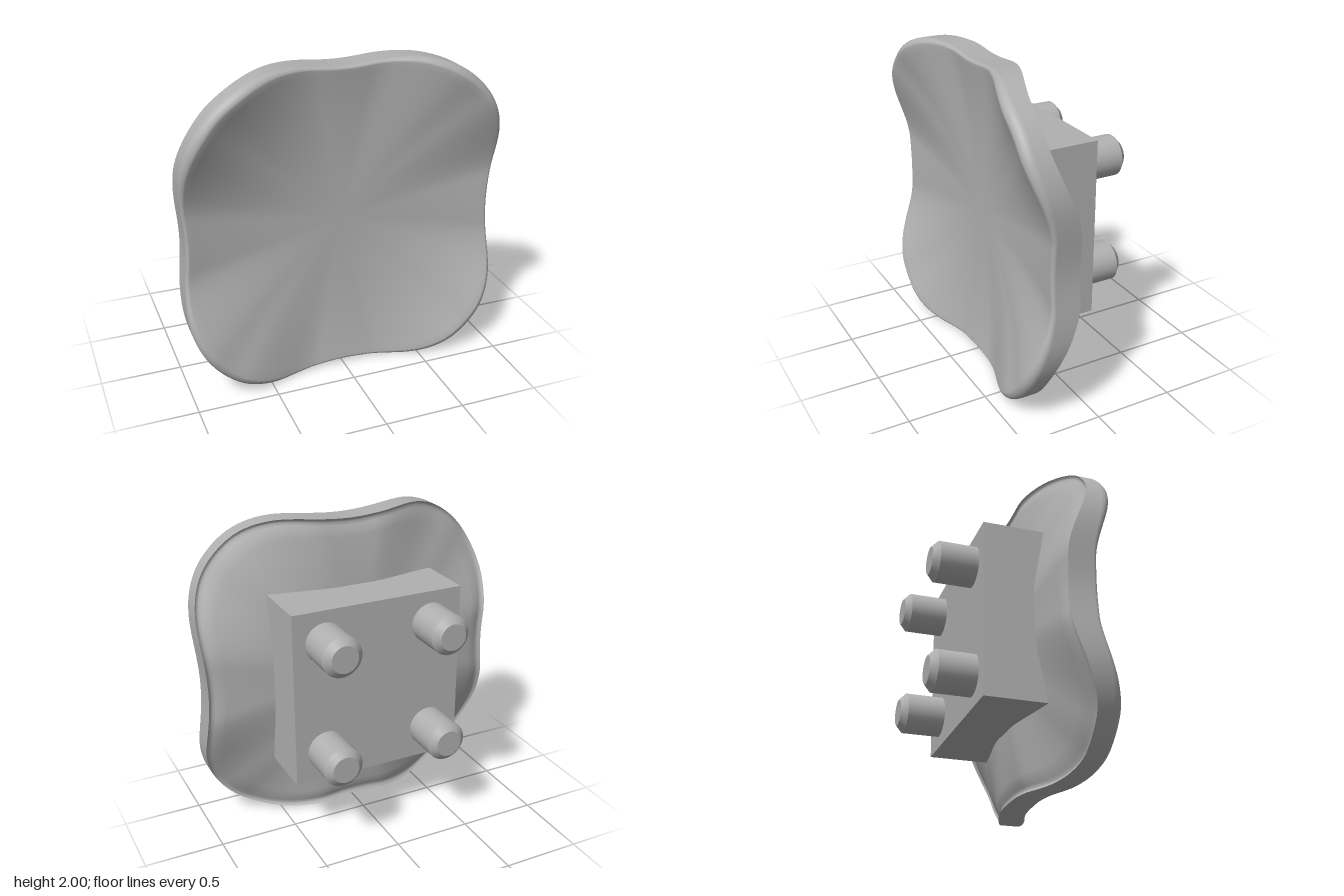
import * as THREE from 'three';

const SEGMENTS = 192;
const CENTER_Y = 1;

// angle measured from the nearest axis, 0 to 45 degrees
function foldAngle(a) {
  const q = Math.PI / 2;
  const m = ((a % q) + q) % q;
  return Math.min(m, q - m);
}

// rounded-square outline with slightly pinched sides
function outlineRadius(a) {
  const f = foldAngle(a), t = Math.tan(f), c = 0.4, R = 0.6;
  if (t < c) return (1 - 0.0125 * (1 + Math.cos(Math.PI * t / c))) / Math.cos(f);
  const d = c * (Math.cos(f) + Math.sin(f));
  return d + Math.sqrt(R * R - 2 * c * c + d * d);
}

// 0 at the middle of a side, 1 at a corner
const cornerness = (a) => THREE.MathUtils.smoothstep(foldAngle(a), 0.18, 0.71);

// rear face of the dish, s runs from the centre (0) to the rim (1)
const backZ = (s, a) => 0.08 + (0.07 + 0.165 * cornerness(a)) * Math.pow(s, 2.5);
const frontZ = (s, a) => backZ(s, a) + 0.173;

// closed rings of points joined into one smooth skin
function skin(rings) {
  const pos = [], idx = [];
  for (const ring of rings) {
    for (let j = 0; j < SEGMENTS; j++) {
      const a = (j / SEGMENTS) * Math.PI * 2;
      const [r, z] = ring(a);
      pos.push(r * Math.cos(a), CENTER_Y + r * Math.sin(a), z);
    }
  }
  for (let i = 0; i < rings.length - 1; i++) {
    for (let j = 0; j < SEGMENTS; j++) {
      const k = (j + 1) % SEGMENTS;
      const p = i * SEGMENTS, q = p + SEGMENTS;
      idx.push(p + j, q + j, q + k, p + j, q + k, p + k);
    }
  }
  const g = new THREE.BufferGeometry();
  g.setAttribute('position', new THREE.Float32BufferAttribute(pos, 3));
  g.setIndex(idx);
  g.computeVertexNormals();
  return g;
}

export function createModel() {
  const model = new THREE.Group();
  const grey = new THREE.MeshStandardMaterial({ color: 0xb0b0b0 });
  grey.name = 'grey';
  const add = (name, geometry, parent = model) => {
    const mesh = new THREE.Mesh(geometry, grey);
    mesh.name = name;
    parent.add(mesh);
    return mesh;
  };

  const dish = new THREE.Group();
  dish.name = 'dish';
  model.add(dish);

  // front face, rolled over at the rim
  const roll = (a) => 0.02 + 0.035 * cornerness(a);
  const front = [];
  for (let i = 0; i <= 28; i++) {
    front.push((a) => {
      const R = outlineRadius(a), s = (i / 28) * (1 - roll(a) / R);
      return [s * R, frontZ(s, a)];
    });
  }
  for (let i = 1; i <= 6; i++) {
    const b = (i / 6) * Math.PI / 2;
    front.push((a) => {
      const R = outlineRadius(a), f = roll(a);
      return [R - f + f * Math.sin(b), frontZ(1 - f / R, a) - f * (1 - Math.cos(b))];
    });
  }
  add('dishFront', skin(front), dish);

  // edge band
  const rimBack = (a) => backZ(1, a) - 0.006;
  add('dishEdge', skin([
    front[front.length - 1],
    (a) => [outlineRadius(a), rimBack(a)],
  ]), dish);

  // rear face with a small raised lip around the rim
  const back = [
    (a) => [outlineRadius(a), rimBack(a)],
    (a) => [outlineRadius(a) - 0.012, rimBack(a) + 0.008],
    (a) => [outlineRadius(a) - 0.025, backZ(0.975, a) + 0.014],
    (a) => [outlineRadius(a) - 0.045, backZ(0.957, a) + 0.01],
  ];
  for (let i = 0; i <= 26; i++) {
    const s = 0.92 * (1 - i / 26);
    back.push((a) => [s * outlineRadius(a), backZ(s, a)]);
  }
  add('dishBack', skin(back), dish);

  // mounting block, sunk into the rear of the dish
  const blockBack = -0.215, blockFront = 0.19;
  add('mountingBlock', new THREE.BoxGeometry(1.125, 1.125, blockFront - blockBack))
    .position.set(0, CENTER_Y, (blockFront + blockBack) / 2);

  // four chamfered pegs
  const shaft = new THREE.CylinderGeometry(0.127, 0.127, 0.26, 40, 1, true).rotateX(-Math.PI / 2);
  const tip = new THREE.CylinderGeometry(0.085, 0.127, 0.04, 40).rotateX(-Math.PI / 2);
  for (const x of [-0.355, 0.355]) {
    for (const y of [-0.36, 0.36]) {
      const peg = new THREE.Group();
      peg.name = 'peg';
      peg.position.set(x, CENTER_Y + y, 0);
      add('pegShaft', shaft, peg).position.z = -0.32;
      add('pegTip', tip, peg).position.z = -0.47;
      model.add(peg);
    }
  }
  return model;
}
